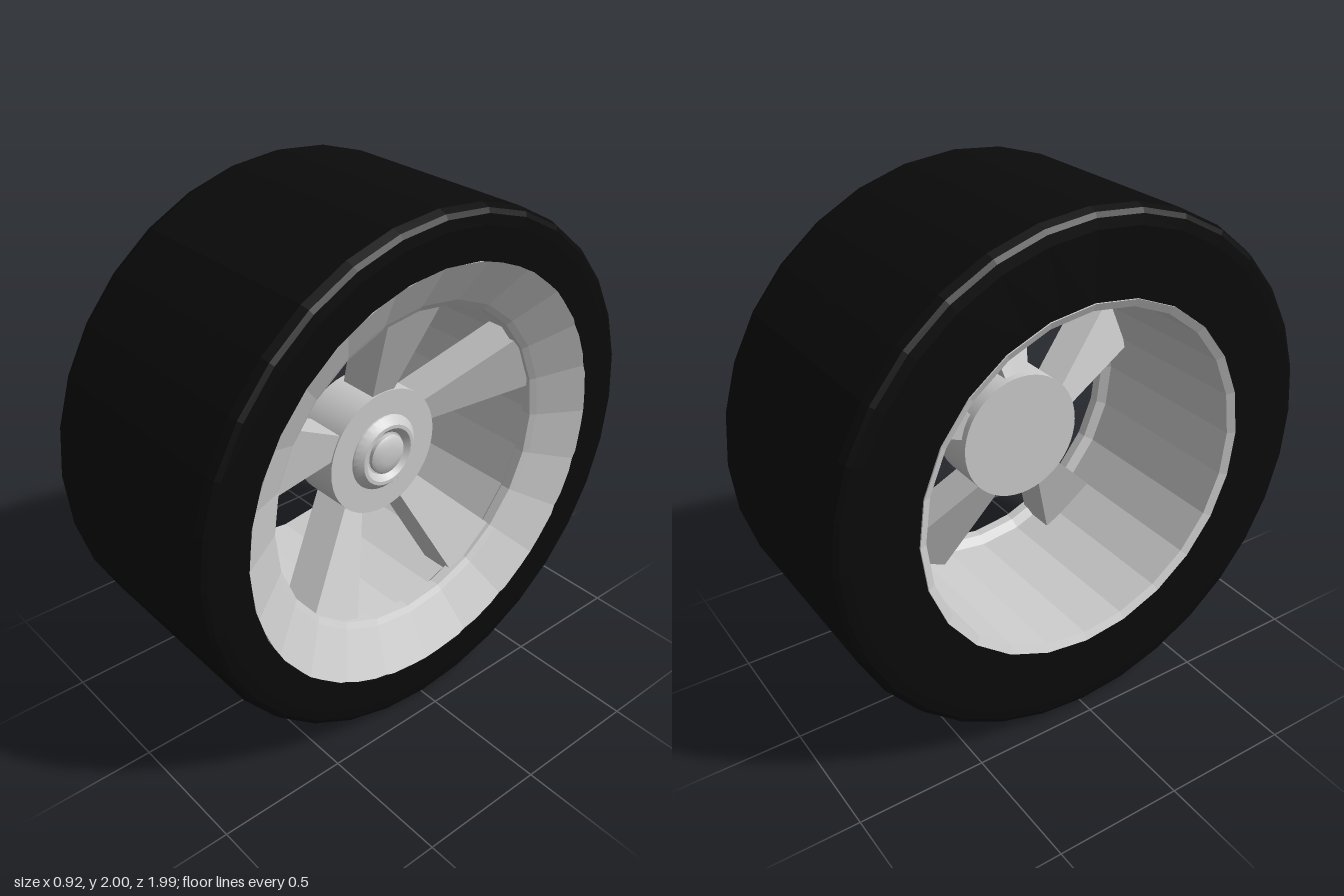
import * as THREE from 'three';
import { toCreasedNormals } from 'three/addons/utils/BufferGeometryUtils.js';

const grey = new THREE.MeshStandardMaterial({ color: 0xcccccc });
const greyFlat = new THREE.MeshStandardMaterial({ color: 0xcccccc, flatShading: true });
const rubber = new THREE.MeshStandardMaterial({ color: 0x0a0a0a, flatShading: true });

// Turned part: [x, radius] pairs revolved about the x axis
function turned(name, profile, sides, material, crease) {
  let geo = new THREE.LatheGeometry(profile.map(([x, r]) => new THREE.Vector2(r, x)), sides);
  geo.rotateZ(-Math.PI / 2);
  if (crease) geo = toCreasedNormals(geo, crease);
  const mesh = new THREE.Mesh(geo, material);
  mesh.name = name;
  return mesh;
}

// Tapered spoke: a box whose ends take their own radius, width and depth
function spokeGeometry() {
  const inner = { r: 0.2, w: 0.085, front: 0.15, back: -0.01 };
  const outer = { r: 0.65, w: 0.256, front: 0.334, back: 0.17 };
  const geo = new THREE.BoxGeometry(1, 1, 1);
  const p = geo.attributes.position;
  for (let i = 0; i < p.count; i++) {
    const end = p.getY(i) > 0 ? outer : inner;
    p.setXYZ(i, p.getX(i) > 0 ? end.front : end.back, end.r, p.getZ(i) * end.w);
  }
  geo.computeVertexNormals();
  return geo;
}

export function createModel() {
  const wheel = new THREE.Group();
  wheel.name = 'wheel';

  // Tyre with rounded shoulders
  wheel.add(turned('tyre', [
    [-0.45, 0.68], [-0.45, 0.93], [-0.446, 0.968], [-0.436, 0.985], [-0.405, 0.996],
    [0.405, 0.996], [0.436, 0.985], [0.446, 0.968], [0.45, 0.93], [0.45, 0.81],
    [-0.45, 0.68],
  ], 32, rubber));

  // Rim: dished outer face, small step, then the open barrel
  wheel.add(turned('rim', [
    [-0.455, 0.685], [0.449, 0.812], [0.35, 0.645], [0.335, 0.623], [0.295, 0.623],
    [0.27, 0.655], [-0.44, 0.655], [-0.455, 0.685],
  ], 24, greyFlat));

  // Five spokes, spread a little wider at the bottom
  const spokes = new THREE.Group();
  spokes.name = 'spokes';
  const geo = spokeGeometry();
  for (const degrees of [0, 67, 146, -146, -67]) {
    const spoke = new THREE.Mesh(geo, greyFlat);
    spoke.name = 'spoke';
    spoke.rotation.x = THREE.MathUtils.degToRad(degrees);
    spokes.add(spoke);
  }
  wheel.add(spokes);

  // Hub disc
  wheel.add(turned('hub', [
    [-0.02, 0], [-0.02, 0.25], [0.175, 0.25], [0.175, 0],
  ], 48, grey, 0.6));

  // Wheel nut with a recess, and the domed axle end inside it
  wheel.add(turned('wheelNut', [
    [0.17, 0.153], [0.18, 0.15], [0.2, 0.13], [0.207, 0.122], [0.207, 0.108],
    [0.185, 0.085], [0.185, 0],
  ], 32, grey, 0.5));
  wheel.add(turned('axleEnd', [
    [0.17, 0.078], [0.2, 0.078], [0.208, 0.068], [0.214, 0.035], [0.216, 0],
  ], 32, grey, 0.7));

  // Slight camber
  wheel.rotation.z = -0.01;
  wheel.position.y = 1;

  const model = new THREE.Group();
  model.name = 'wheelAssembly';
  model.add(wheel);
  return model;
}
